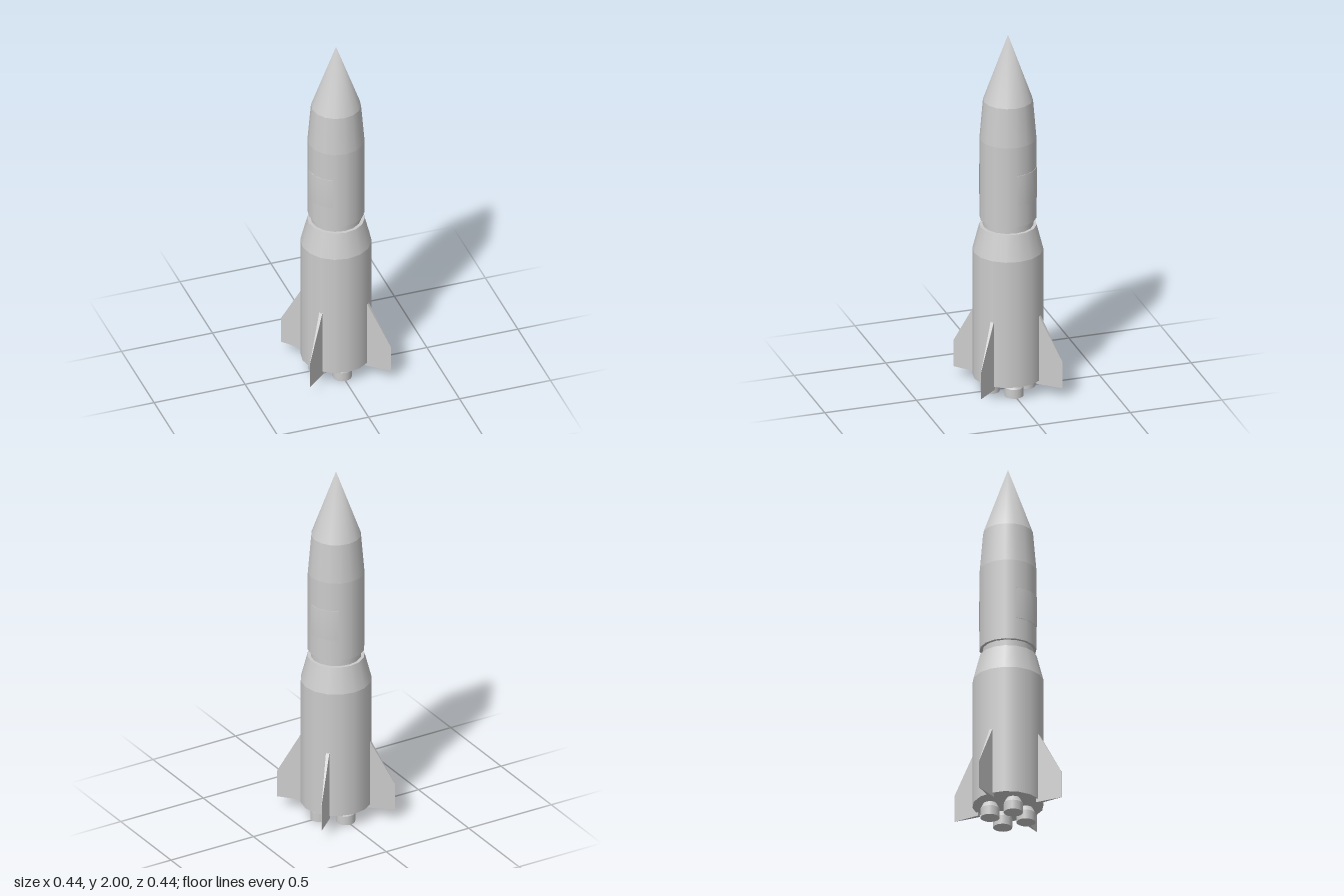
import * as THREE from 'three';
import { mergeVertices } from 'three/addons/utils/BufferGeometryUtils.js';

const SIDES = 16;
const material = new THREE.MeshStandardMaterial({ color: 0xcccccc });
const thin = new THREE.MeshStandardMaterial({ color: 0xcccccc, side: THREE.DoubleSide });

function add(parent, name, geometry, mat = material) {
  const mesh = new THREE.Mesh(geometry, mat);
  mesh.name = name;
  parent.add(mesh);
  return mesh;
}

// Round section between two heights
function section(parent, name, y0, r0, y1, r1, open = false) {
  const mesh = add(parent, name, new THREE.CylinderGeometry(r1, r0, y1 - y0, SIDES, 1, open));
  mesh.position.y = (y0 + y1) / 2;
  return mesh;
}

// Cone whose shading runs smoothly over the tip
function noseGeometry(radius, height) {
  const cone = new THREE.ConeGeometry(radius, height, SIDES, 1, true);
  cone.deleteAttribute('normal');
  cone.deleteAttribute('uv');
  const merged = mergeVertices(cone);
  merged.computeVertexNormals();
  return merged;
}

// Swept fin: thick at the root, sharp at the outer edge
function finGeometry() {
  const root = 0.17, tip = 0.314, bottom = 0.06;
  const geometry = new THREE.BoxGeometry(1, 1, 1).toNonIndexed();
  const p = geometry.attributes.position;
  for (let i = 0; i < p.count; i++) {
    const outer = p.getX(i) > 0, upper = p.getY(i) > 0;
    p.setXYZ(i,
      outer ? tip : root,
      upper ? (outer ? 0.21 : 0.47) : bottom,
      Math.sign(p.getZ(i)) * (outer ? 0.0005 : 0.01));
  }
  geometry.computeVertexNormals();
  return geometry;
}

export function createModel() {
  const rocket = new THREE.Group();
  rocket.name = 'rocket';

  // Lower stage
  section(rocket, 'lowerStage', 0.08, 0.185, 0.79, 0.185);
  section(rocket, 'lowerShoulder', 0.79, 0.185, 0.93, 0.149);
  section(rocket, 'neck', 0.92, 0.132, 0.98, 0.132);

  // Upper stage and nose
  section(rocket, 'upperStage', 0.97, 0.148, 1.42, 0.148);
  section(rocket, 'upperShoulder', 1.42, 0.148, 1.635, 0.13);
  add(rocket, 'noseCone', noseGeometry(0.13, 0.365)).position.y = 1.8175;

  // Two raised curved panels on opposite sides
  const profile = [[0.146, 1.09], [0.152, 1.09], [0.152, 1.26], [0.146, 1.26]]
    .map(([r, y]) => new THREE.Vector2(r, y));
  for (const start of [Math.PI / 2, Math.PI * 1.5]) {
    add(rocket, 'sidePanel',
      new THREE.LatheGeometry(profile, 4, start, THREE.MathUtils.degToRad(64)), thin);
  }

  // Four fins on the diagonals, four engines on the axes
  const fin = finGeometry();
  for (let i = 0; i < 4; i++) {
    const angle = i * Math.PI / 2;
    add(rocket, 'fin', fin).rotation.y = angle + Math.PI / 4;

    const engine = new THREE.Group();
    engine.name = 'engine';
    section(engine, 'nozzle', 0, 0.05, 0.05, 0.05);
    section(engine, 'nozzleThroat', 0.05, 0.05, 0.085, 0.032, true);
    engine.position.set(Math.cos(angle) * 0.097, 0, Math.sin(angle) * 0.097);
    rocket.add(engine);
  }
  return rocket;
}
